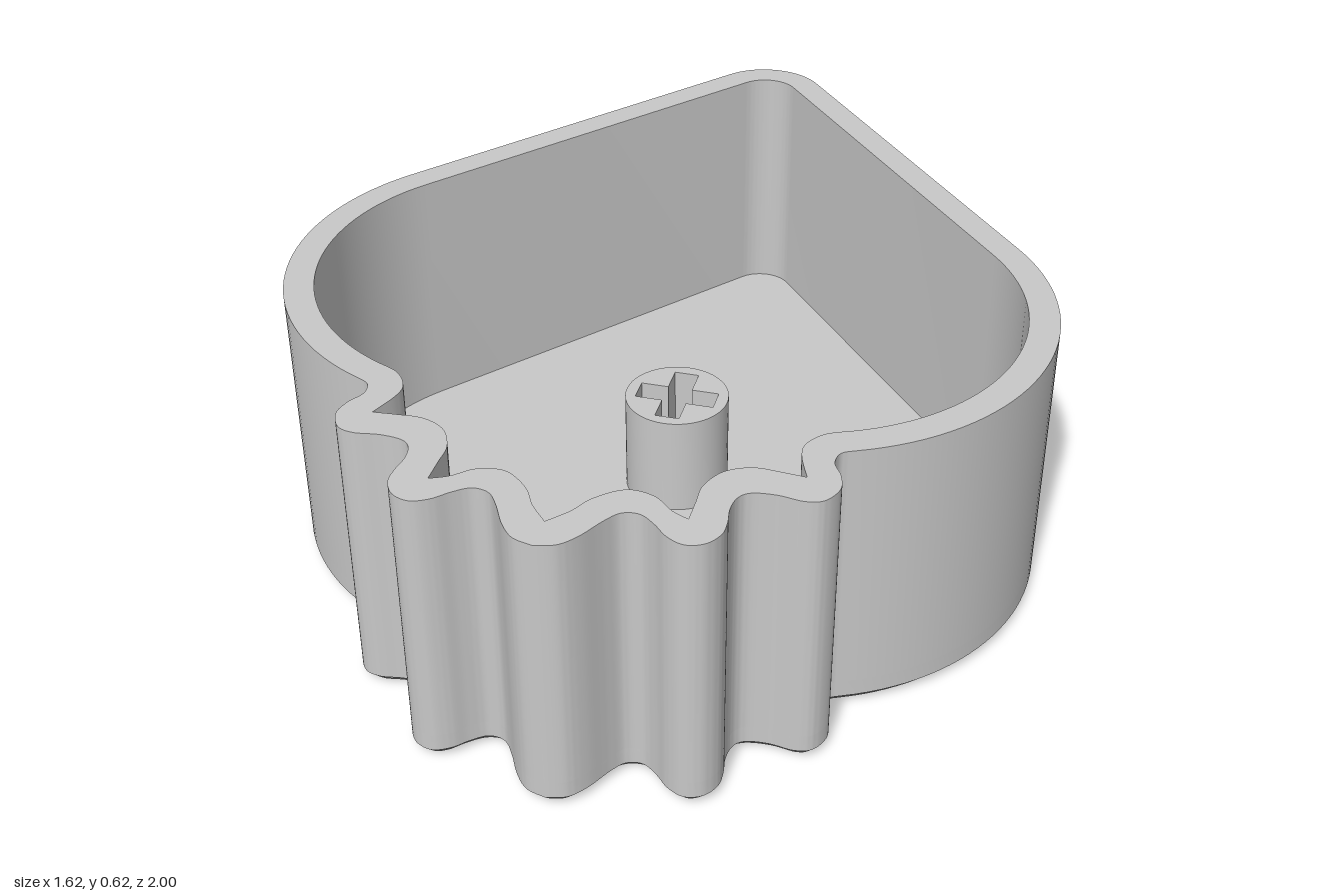
import * as THREE from 'three';
import { toCreasedNormals } from 'three/addons/utils/BufferGeometryUtils.js';

const TOP = 0.622, FLOOR = 0.0625, STEP_TOP = 0.025;
const V = (x, z) => new THREE.Vector2(x, z);

function arc(cx, cz, r, fromDeg, toDeg, n) {
  return Array.from({ length: n + 1 }, (_, i) => {
    const a = THREE.MathUtils.degToRad(fromDeg + (toDeg - fromDeg) * i / n);
    return V(cx + r * Math.cos(a), cz + r * Math.sin(a));
  });
}

// Smooth curve through [x, z] pairs, without its first point
function smooth(pairs) {
  return new THREE.SplineCurve(pairs.map(p => V(...p))).getPoints(pairs.length * 6).slice(1);
}

// Closed outline: pointed back, round sides, scalloped front, mirrored in x
function outline(tipR, sideR, endDeg, scallops) {
  const half = [...arc(0, -0.86, tipR, -90, -38.9, 12), ...arc(0.278, 0.1, sideR, -38.9, endDeg, 36)];
  for (const s of scallops) {
    const last = half[half.length - 1];
    half.push(...smooth([[last.x, last.y], ...s]));
  }
  const mirrored = half.slice(1, -1).reverse().map(p => V(-p.x, p.y));
  return [...half, ...mirrored];
}

// Move every outline point inwards along its normal
function inset(points, d) {
  const n = points.length;
  return points.map((p, i) => {
    const t = points[(i + 1) % n].clone().sub(points[(i + n - 1) % n]).normalize();
    return V(p.x - t.y * d, p.y + t.x * d);
  });
}

// Vertical slab from an outline in x and z, with optional holes;
// outer loop runs anticlockwise and holes clockwise, so every wall faces outwards
function slab(points, holes, y0, y1) {
  const loop = (pts, clockwise) => {
    const flipped = pts.map(p => V(p.x, -p.y));
    return THREE.ShapeUtils.isClockWise(flipped) === clockwise ? flipped : flipped.reverse();
  };
  const shape = new THREE.Shape(loop(points, false));
  shape.holes = holes.map(h => new THREE.Path(loop(h, true)));
  const geo = new THREE.ExtrudeGeometry(shape, { depth: y1 - y0, bevelEnabled: false });
  geo.rotateX(-Math.PI / 2).translate(0, y0, 0);
  return toCreasedNormals(geo, 0.6);
}

export function createModel() {
  const group = new THREE.Group();
  const grey = new THREE.MeshStandardMaterial({ color: 0xc8c8c8 });
  grey.name = 'light grey';
  const add = (name, geo) => {
    const mesh = new THREE.Mesh(geo, grey);
    mesh.name = name;
    group.add(mesh);
  };

  const outer = outline(0.14, 0.53, 67, [[
    [0.46, 0.603], [0.455, 0.635], [0.473, 0.67], [0.48, 0.71], [0.46, 0.75], [0.425, 0.762],
    [0.375, 0.756], [0.33, 0.761], [0.309, 0.78], [0.303, 0.815], [0.308, 0.855], [0.306, 0.89],
    [0.285, 0.922], [0.25, 0.934], [0.215, 0.919], [0.186, 0.891], [0.155, 0.87], [0.122, 0.875],
    [0.098, 0.905], [0.07, 0.955], [0.04, 0.988], [0, 1],
  ]]);
  const inner = outline(0.077, 0.467, 66, [
    [[0.42, 0.55], [0.392, 0.59], [0.393, 0.63], [0.415, 0.69]],
    [[0.37, 0.686], [0.315, 0.685], [0.267, 0.71], [0.241, 0.76], [0.24, 0.81], [0.24, 0.862]],
    [[0.205, 0.845], [0.165, 0.812], [0.112, 0.806], [0.062, 0.845], [0.035, 0.89], [0, 0.93]],
  ]);

  add('wall', slab(outer, [inner], FLOOR, TOP));
  add('floor', slab(outer, [], STEP_TOP, FLOOR));

  // Stepped underside edge with small round recesses, paired left and right
  const side = [[0.17, -0.757], [0.36, -0.522], [0.535, -0.233], [0.69, -0.025], [0.615, 0.26]];
  const recesses = [[0, -0.506], ...side, ...side.map(([x, z]) => [-x, z])]
    .map(([x, z]) => arc(x, z, 0.037, 0, 345, 23));
  const steps = 3;
  for (let i = 0; i < steps; i++) {
    const y = STEP_TOP * i / steps;
    add('baseStep' + (i + 1), slab(inset(outer, 0.0075 * (steps - i)), recesses, y, y + STEP_TOP / steps));
  }

  // Round mounting post with a cross-shaped socket
  const cz = 0.014, a = 0.088, b = 0.027;
  const cross = [[b, a], [b, b], [a, b], [a, -b], [b, -b], [b, -a],
    [-b, -a], [-b, -b], [-a, -b], [-a, b], [-b, b], [-b, a]].map(([x, z]) => V(x, z + cz));
  add('mountingPost', slab(arc(0, cz, 0.114, 0, 352.5, 47), [cross], FLOOR, 0.292));

  return group;
}
